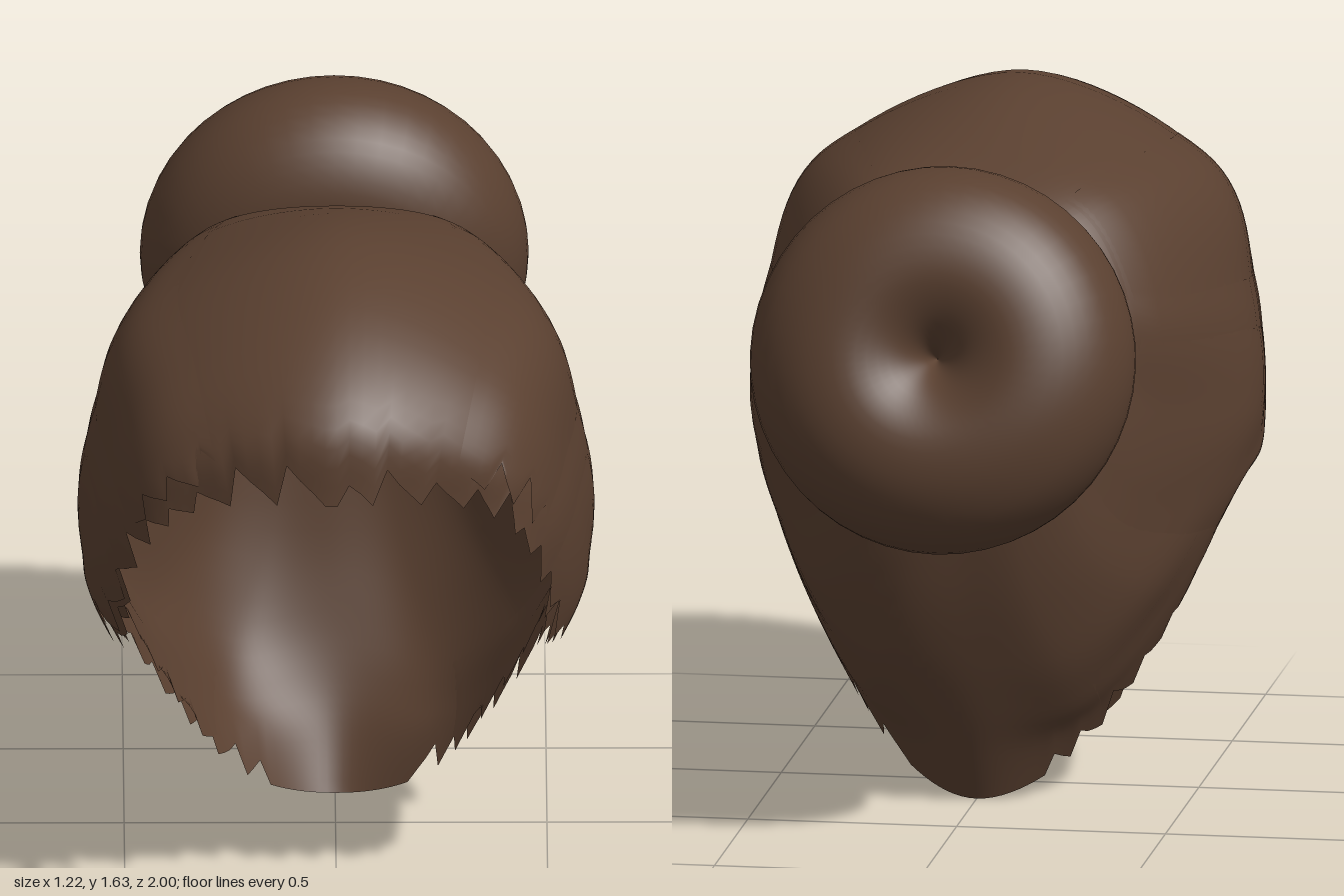
import * as THREE from 'three';

const V = (x, y, z) => new THREE.Vector3(x, y, z);
const TILT = 0.26;
const KNOT = V(0, 1.135, -0.435);

// point on the tilted circle around the knot, a = 0 at the top, turning to +x
function knotPoint(a, r, forward) {
  return V(Math.sin(a) * r, Math.cos(a) * r, forward).applyAxisAngle(V(1, 0, 0), TILT).add(KNOT);
}

// hair lines from the knot to the rim: crown, round the left side, to the nape
const LINES = [
  [[0, 1.52, -0.1], [0, 1.62, 0.35], [0, 1.55, 0.7], [0, 1.37, 0.96], [0, 1.17, 1.0]],
  [[0.29, 1.45, -0.15], [0.44, 1.44, 0.33], [0.4, 1.37, 0.69], [0.355, 1.25, 0.86], [0.32, 1.12, 0.89]],
  [[0.42, 1.2, -0.21], [0.57, 1.15, 0.22], [0.55, 1.1, 0.55], [0.515, 1.04, 0.71], [0.465, 0.96, 0.8]],
  [[0.42, 0.97, -0.22], [0.585, 0.9, 0.15], [0.585, 0.82, 0.38], [0.555, 0.75, 0.51], [0.5, 0.66, 0.58]],
  [[0.37, 0.8, -0.29], [0.5, 0.73, -0.05], [0.56, 0.71, 0.13], [0.56, 0.7, 0.23], [0.53, 0.66, 0.3]],
  [[0.285, 0.65, -0.375], [0.39, 0.51, -0.22], [0.43, 0.46, -0.06], [0.435, 0.42, 0.02], [0.415, 0.37, 0.07]],
  [[0.15, 0.6, -0.425], [0.215, 0.38, -0.335], [0.24, 0.25, -0.23], [0.24, 0.18, -0.14], [0.225, 0.1, -0.08]],
  [[0, 0.6, -0.43], [0, 0.4, -0.375], [0, 0.25, -0.32], [0, 0.12, -0.26], [0, 0, -0.2]],
];
const N = LINES.length - 1;

// closed rings through the matching points of all lines, mirrored to the right
const RINGS = [];
for (let i = 0; i < 7; i++) {
  const pts = [];
  for (let k = 0; k < 2 * N; k++) {
    const j = k <= N ? k : 2 * N - k;
    const a = (k * Math.PI) / N;
    if (i < 2) pts.push(i ? knotPoint(a, 0.225, 0.01) : knotPoint(a, 0.12, 0));
    else {
      const [x, y, z] = LINES[j][i - 2];
      pts.push(V(k <= N ? x : -x, y, z));
    }
  }
  RINGS.push(new THREE.CatmullRomCurve3(pts, true, 'catmullrom'));
}

function hairLine(s) {
  const u = (((s / (2 * N)) % 1) + 1) % 1;
  return new THREE.CatmullRomCurve3(RINGS.map(r => r.getPoint(u)), false, 'catmullrom');
}

function seeded(seed) {
  return () => {
    seed = (seed * 16807) % 2147483647;
    return seed / 2147483647;
  };
}

// sheet of hair between lines s0 and s1, from t0 to a ragged rim
function hairSheet({ s0, s1, t0 = 0, lift = 0, seed, rows = 26, closed = false, end = 1 }) {
  const rand = seeded(seed);
  const cols = Math.round((s1 - s0) * 12);
  const count = closed ? cols : cols + 1;
  const heart = V(0, 0.95, 0.2);
  const pos = [], index = [];
  let depth = 0.06;
  for (let c = 0; c < count; c++) {
    const s = s0 + ((s1 - s0) * c) / cols;
    const away = Math.abs(((s + 3 * N) % (2 * N)) - N); // N at the crown, 0 at the nape
    const nape = N - away;
    if (c % 4 === 0) depth = (nape < 3 ? 0.11 : 0.04) + 0.08 * rand();
    const cut = depth * [1, 0.6, 0.3, 0][c % 4] * Math.min(1, away / 0.1, 1);
    const calm = Math.abs(Math.abs(s) - N) < 0.7 ? 0 : 1;
    const bulge = lift * Math.sin((Math.PI * c) / cols);
    const line = hairLine(s);
    for (let r = 0; r <= rows; r++) {
      const v = r / rows;
      const t = t0 + (end - t0) * v - cut * calm * Math.max(0, (v - 0.75) / 0.25);
      const p = line.getPoint(t);
      const out = p.clone().sub(heart).normalize();
      p.addScaledVector(out, bulge * Math.min(1, v * 3));
      pos.push(p.x, p.y, p.z);
    }
  }
  for (let c = 0; c < cols; c++) {
    for (let r = 0; r < rows; r++) {
      const a = c * (rows + 1) + r;
      const b = ((c + 1) % count) * (rows + 1) + r;
      index.push(a, a + 1, b, b, a + 1, b + 1);
    }
  }
  const g = new THREE.BufferGeometry();
  g.setAttribute('position', new THREE.Float32BufferAttribute(pos, 3));
  g.setIndex(index);
  g.computeVertexNormals();
  return g;
}

export function createModel() {
  const hair = new THREE.MeshStandardMaterial({ color: 0x5a4030, side: THREE.DoubleSide });
  hair.name = 'brown hair';
  const red = new THREE.MeshStandardMaterial({ color: 0x8e2039 });
  red.name = 'red band';
  const group = new THREE.Group();
  group.name = 'hairWithBun';
  const add = (name, geometry, material) => {
    const m = new THREE.Mesh(geometry, material);
    m.name = name;
    group.add(m);
    return m;
  };

  // main shell of swept-back hair
  add('hairCap', hairSheet({ s0: -N, s1: N, seed: 11, closed: true }), hair);

  // overlapping locks on both sides, outside and under the rim
  for (const [name, m] of [['left', 1], ['right', -1]]) {
    const range = (a, b) => (m > 0 ? { s0: a, s1: b } : { s0: -b, s1: -a });
    add(name + 'SideLock', hairSheet({ ...range(2.3, 4.4), t0: 0.2, lift: 0.014, seed: 31 + m, end: 0.97 }), hair);
    add(name + 'TempleLock', hairSheet({ ...range(0.8, 1.9), t0: 0.3, lift: 0.008, seed: 57 + m, end: 0.93 }), hair);
    add(name + 'UnderLock', hairSheet({ ...range(2.5, 5.8), t0: 0.6, lift: -0.025, seed: 83 + m, rows: 12 }), hair);
  }

  // twisted hair band
  const band = new THREE.TorusGeometry(0.235, 0.038, 16, 144);
  const p = band.attributes.position;
  for (let i = 0; i < p.count; i++) {
    const u = Math.atan2(p.getY(i), p.getX(i));
    const rho = Math.hypot(p.getX(i), p.getY(i)) - 0.235;
    const z = p.getZ(i);
    const k = 1 + 0.08 * Math.cos(24 * u + 2 * Math.atan2(z, rho));
    const r = 0.235 + rho * k;
    p.setXYZ(i, Math.cos(u) * r, Math.sin(u) * r, z * k);
  }
  band.computeVertexNormals();
  const tie = add('hairBand', band, red);
  tie.position.copy(KNOT);
  tie.rotation.x = TILT;

  // round bun with a dimple at each end
  const profile = new THREE.CatmullRomCurve3([
    [0, -0.13], [0.03, -0.165], [0.1, -0.22], [0.2, -0.24], [0.32, -0.215], [0.42, -0.13], [0.46, 0],
    [0.42, 0.13], [0.32, 0.215], [0.2, 0.24], [0.1, 0.205], [0.03, 0.14], [0, 0.08],
  ].map(([r, h]) => V(r, h, 0))).getPoints(48).map(q => new THREE.Vector2(Math.max(0, q.x), q.y));
  const bunShape = new THREE.LatheGeometry(profile, 48);
  bunShape.rotateX(-Math.PI / 2);
  const bun = add('bun', bunShape, hair);
  bun.position.set(0, 1.177, -0.705);
  bun.rotation.x = TILT;

  return group;
}
